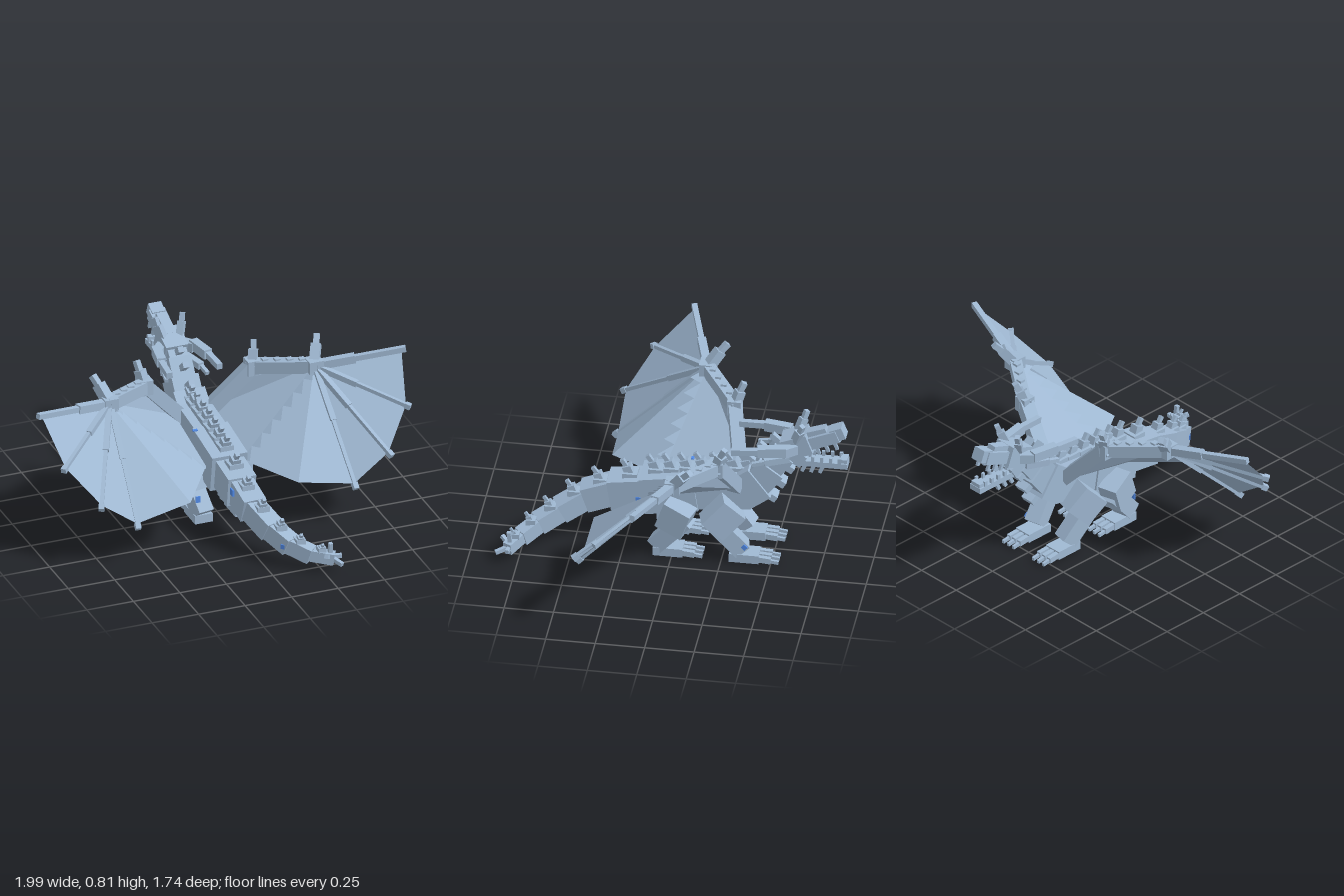
import * as THREE from 'three';

const steel = new THREE.MeshStandardMaterial({ color: 0x9fb8d2, flatShading: true });
steel.name = 'steel blue scales';
const skin = new THREE.MeshStandardMaterial({ color: 0x9fb8d2, flatShading: true, side: THREE.DoubleSide });
skin.name = 'steel blue membrane';
const blue = new THREE.MeshStandardMaterial({ color: 0x5590f0, flatShading: true });
blue.name = 'bright blue fleck';

export function createModel() {
  const dragon = new THREE.Group();
  dragon.name = 'blockDragon';

  const block = (name, p, size, mat = steel) => {
    const m = new THREE.Mesh(new THREE.BoxGeometry(...size), mat);
    m.name = name;
    m.position.set(...p);
    dragon.add(m);
    return m;
  };
  // box running from a to b, w wide and h high
  const beam = (name, a, b, w, h, over = 0, mat = steel) => {
    const A = new THREE.Vector3(...a), B = new THREE.Vector3(...b);
    const m = block(name, A.clone().lerp(B, 0.5).toArray(), [w, h, A.distanceTo(B) + over], mat);
    m.lookAt(B);
    return m;
  };
  // thin sheet from a fan of corners
  const sheet = (name, pts) => {
    const g = new THREE.BufferGeometry();
    const tri = [];
    for (let i = 1; i < pts.length - 1; i++) tri.push(...pts[0], ...pts[i], ...pts[i + 1]);
    g.setAttribute('position', new THREE.Float32BufferAttribute(tri, 3));
    g.computeVertexNormals();
    const m = new THREE.Mesh(g, skin);
    m.name = name;
    dragon.add(m);
  };
  const mix = (a, b, t) => a.map((v, i) => v + (b[i] - v) * t);

  // torso and tail: centre of each joint, then width and height of the piece to the next joint
  const spine = [
    [0, 0.37, -0.37, 0.17, 0.19], [0, 0.34, -0.1, 0.19, 0.2], [0, 0.3, 0.15, 0.15, 0.16],
    [0, 0.275, 0.32, 0.12, 0.135], [0.01, 0.23, 0.45, 0.1, 0.11], [0.06, 0.165, 0.57, 0.085, 0.095],
    [0.12, 0.115, 0.67, 0.07, 0.08], [0.2, 0.08, 0.745, 0.05, 0.06], [0.3, 0.065, 0.8, 0, 0],
  ];
  for (let i = 0; i < spine.length - 1; i++) {
    const [x, y, z, w, h] = spine[i];
    beam(i < 3 ? 'torso' : 'tail', [x, y, z], spine[i + 1].slice(0, 3), w, h, 0.02);
  }
  // tail tip barbs
  [[0.35, 0.07, 0.8], [0.33, 0.05, 0.86], [0.29, 0.15, 0.8], [0.25, 0.1, 0.84]]
    .forEach(b => beam('tailBarb', [0.29, 0.07, 0.79], b, 0.02, 0.02));

  // stepped spikes down the back and tail
  const spike = (p, s) => {
    block('spikeBase', [p[0], p[1] + 0.008, p[2]], [0.075 * s, 0.03, 0.075 * s]);
    beam('spike', p, [p[0], p[1] + 0.055 * s, p[2] + 0.02 * s], 0.045 * s, 0.045 * s);
    beam('spikeTip', [p[0], p[1] + 0.04 * s, p[2] + 0.015 * s],
      [p[0], p[1] + 0.085 * s, p[2] + 0.045 * s], 0.022 * s, 0.022 * s);
  };
  [-0.37, -0.3, -0.22, -0.14].forEach(z => spike([0, 0.462 - (z + 0.37) * 0.08, z], 1));
  [-0.06, 0.02, 0.1].forEach(z => spike([0, 0.438 - (z + 0.1) * 0.16, z], 1));
  spike([0, 0.367, 0.23], 1);
  spike([0.005, 0.318, 0.38], 0.9);
  for (let i = 4; i < 8; i++) {
    const m = mix(spine[i], spine[i + 1], 0.5);
    spike([m[0], m[1] + spine[i][4] / 2, m[2]], 0.85 - (i - 4) * 0.1);
  }

  // chest and neck
  const neck = [[0, 0.36, -0.34, 0.17, 0.19], [0, 0.42, -0.42, 0.145, 0.15], [0, 0.5, -0.48, 0.12, 0.125],
    [0, 0.58, -0.54, 0.1, 0.11], [0, 0.63, -0.59, 0, 0]];
  for (let i = 0; i < 4; i++) {
    const a = neck[i].slice(0, 3), b = neck[i + 1].slice(0, 3), h = neck[i][4];
    beam('neck', a, b, neck[i][3], h, 0.03);
    const m = mix(a, b, 0.5);
    beam('neckSpike', m, [0, m[1] + h * 0.65, m[2] + h * 0.75], 0.03, 0.03);
    beam('throatScale', m, [0, m[1] - h * 0.42, m[2] - h * 0.68], 0.07, 0.035);
  }

  // head, jaws and teeth
  beam('skull', [0, 0.62, -0.55], [0, 0.67, -0.68], 0.12, 0.11);
  beam('upperJaw', [0, 0.655, -0.66], [0, 0.72, -0.82], 0.085, 0.065);
  beam('brow', [0, 0.69, -0.62], [0, 0.74, -0.76], 0.05, 0.03);
  beam('nose', [0, 0.715, -0.79], [0, 0.74, -0.85], 0.07, 0.065);
  beam('jawHinge', [0, 0.61, -0.56], [0, 0.555, -0.65], 0.1, 0.07);
  block('lowerJaw', [0, 0.545, -0.74], [0.075, 0.03, 0.26]);
  block('chin', [0, 0.555, -0.85], [0.06, 0.05, 0.035]);
  for (const s of [1, -1]) {
    for (let i = 0; i < 5; i++) {
      const z = -0.65 - i * 0.045;
      block('lowerTooth', [s * 0.031, 0.57, z], [0.014, 0.035, 0.016]);
      if (i < 4) beam('upperTooth', [s * 0.035, 0.63 - (z + 0.65) * 0.4, z - 0.02],
        [s * 0.035, 0.592 - (z + 0.65) * 0.4, z - 0.035], 0.014, 0.016);
      if (i < 3) beam('chinSpike', [s * 0.025, 0.54, z - 0.01], [s * 0.025, 0.495, z + 0.01], 0.018, 0.018);
    }
    // crown horns and swept cheek horns
    beam('crownHorn', [s * 0.045, 0.68, -0.61], [s * 0.065, 0.75, -0.635], 0.035, 0.04);
    beam('crownHornTip', [s * 0.062, 0.73, -0.63], [s * 0.075, 0.79, -0.65], 0.025, 0.025);
    beam('cheek', [s * 0.05, 0.64, -0.61], [s * 0.1, 0.64, -0.55], 0.05, 0.05);
    beam('cheekHorn', [s * 0.1, 0.65, -0.57], [s * 0.125, 0.65, -0.43], 0.045, 0.05);
    beam('cheekHornTip', [s * 0.125, 0.65, -0.45], [s * 0.135, 0.642, -0.3], 0.03, 0.032);
    beam('lowerCheekHorn', [s * 0.06, 0.585, -0.58], [s * 0.1, 0.575, -0.46], 0.035, 0.035);
    beam('lowerCheekHornTip', [s * 0.1, 0.575, -0.47], [s * 0.11, 0.56, -0.4], 0.02, 0.02);
  }

  // one leg with a three-toed foot
  const leg = (name, s, hip, knee, ankle, footZ) => {
    const at = ([y, z], x) => [s * x, y, z];
    beam(name + 'Thigh', at(hip, 0.125), at(knee, 0.145), 0.105, 0.15, 0.06);
    beam(name + 'Shin', at(knee, 0.135), at(ankle, 0.11), 0.085, 0.09, 0.04);
    block(name + 'Foot', [s * 0.108, 0.023, footZ - 0.075], [0.095, 0.046, 0.15]);
    for (const t of [-1, 0, 1]) {
      beam(name + 'Toe', [s * 0.108 + t * 0.034, 0.025, footZ - 0.14], [s * 0.108 + t * 0.036, 0.02, footZ - 0.21], 0.024, 0.03);
      beam(name + 'Claw', [s * 0.108 + t * 0.036, 0.018, footZ - 0.2], [s * 0.108 + t * 0.036, 0.012, footZ - 0.25], 0.014, 0.018);
    }
  };

  for (const s of [1, -1]) {
    leg('frontLeg', s, [0.29, -0.29], [0.215, -0.22], [0.07, -0.34], -0.29);
    leg('hindLeg', s, [0.24, 0.02], [0.21, -0.06], [0.06, 0.07], 0.095);

    // wing arm
    const P = (x, y, z) => [s * x, y, z];
    const root = P(0.08, 0.41, -0.31), elbow = P(0.29, 0.64, -0.25), wrist = P(0.55, 0.68, -0.07);
    const attach = P(0.095, 0.315, 0.09), corner = P(0.29, 0.283, 0.37);
    const tips = [P(0.985, 0.755, 0.065), P(0.93, 0.535, 0.265), P(0.78, 0.35, 0.395), P(0.585, 0.21, 0.405)];
    beam('wingUpperArm', root, elbow, 0.07, 0.07, 0.03);
    beam('wingForearm', elbow, wrist, 0.06, 0.065, 0.05);
    block('wristJoint', wrist, [0.075, 0.07, 0.075]);
    block('elbowJoint', elbow, [0.07, 0.08, 0.07]);
    for (let i = 1; i < 5; i++) {
      const p = mix(elbow, wrist, i / 5);
      block('forearmStud', [p[0], p[1] + 0.03, p[2]], [0.03, 0.025, 0.03]);
    }
    // claws on the wrist and elbow
    beam('wristClaw', wrist, P(0.585, 0.765, -0.13), 0.05, 0.05);
    beam('wristClawTip', P(0.58, 0.75, -0.12), P(0.603, 0.8, -0.165), 0.03, 0.03);
    beam('elbowClaw', elbow, P(0.305, 0.72, -0.275), 0.045, 0.045);
    beam('elbowClawTip', P(0.305, 0.71, -0.27), P(0.315, 0.765, -0.295), 0.028, 0.028);

    // fingers, each of three tapering lengths
    tips.forEach((t, i) => {
      const k = i ? 1 : 1.4;
      beam('wingFinger', wrist, mix(wrist, t, 0.45), 0.03 * k, 0.03 * k);
      beam('wingFingerOuter', mix(wrist, t, 0.42), t, 0.02 * k, 0.02 * k);
      beam('wingFingerTip', mix(wrist, t, 0.96), t, 0.028, 0.028, 0.008);
    });
    // membranes between the fingers, arm and flank
    for (let i = 0; i < 3; i++)
      sheet('wingMembrane', [wrist, mix(wrist, tips[i], 0.96), mix(wrist, tips[i + 1], 0.96)]);
    sheet('wingMembrane', [wrist, mix(wrist, tips[3], 0.96), corner, attach]);
    sheet('armMembrane', [wrist, attach, P(0.095, 0.4, -0.33), elbow]);
    // ragged scales along the fold
    for (let i = 0; i < 7; i++) {
      const a = mix(wrist, attach, i / 7), b = mix(wrist, attach, (i + 1) / 7);
      const c = mix(a, b, 0.65);
      sheet('foldScale', [a, b, [c[0], c[1] - 0.005, c[2] + 0.065]]);
    }
  }

  // small blue flecks on flank, back, legs and tail
  block('flankFleck', [0.076, 0.27, 0.18], [0.006, 0.028, 0.025], blue);
  block('backFleck', [-0.09, 0.438, -0.07], [0.025, 0.006, 0.016], blue);
  block('shinFleck', [0.138, 0.09, -0.368], [0.036, 0.024, 0.024], blue).rotation.x = Math.PI / 4;
  block('shinFleck', [-0.137, 0.135, 0.09], [0.024, 0.034, 0.006], blue);
  block('tailFleck', [-0.059, 0.29, 0.355], [0.014, 0.035, 0.035], blue);
  beam('tailFleck', [0.08, 0.115, 0.685], [0.135, 0.115, 0.635], 0.022, 0.024, 0.01, blue);

  return dragon;
}
